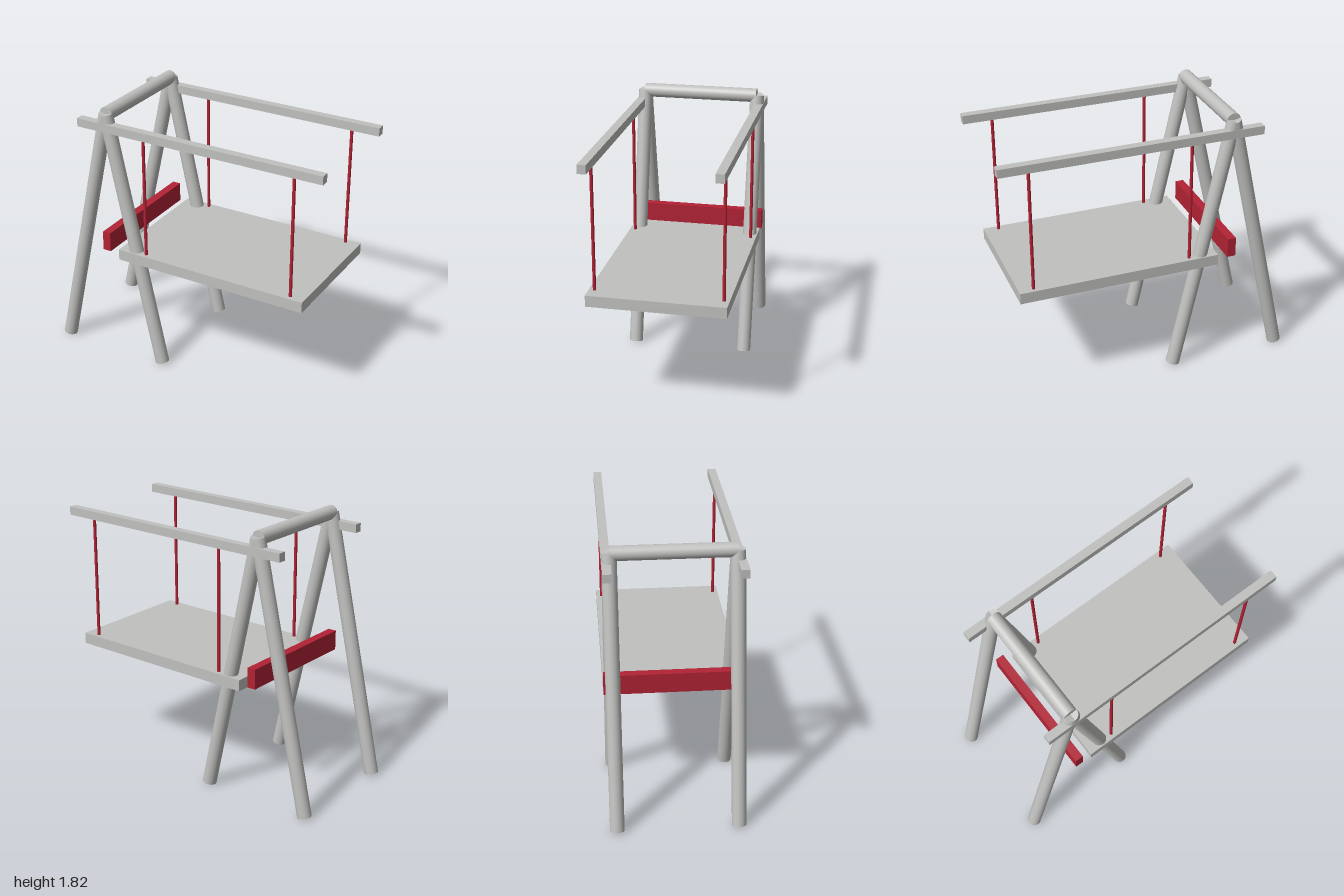
import * as THREE from 'three';

export function createModel() {
  const grey = new THREE.MeshStandardMaterial({ color: 0xc0c0be });
  grey.name = 'light grey';
  const red = new THREE.MeshStandardMaterial({ color: 0xb22234 });
  red.name = 'red';
  const model = new THREE.Group();
  model.name = 'hangingPlatform';

  // Box given by its minimum and maximum corners
  function box(name, min, max, material) {
    const size = max.map((v, i) => v - min[i]);
    const mesh = new THREE.Mesh(new THREE.BoxGeometry(...size), material);
    mesh.position.set(...max.map((v, i) => (v + min[i]) / 2));
    mesh.name = name;
    model.add(mesh);
  }

  // Round bar between two points
  function bar(name, from, to, radius, material, sides = 32) {
    const a = new THREE.Vector3(...from), b = new THREE.Vector3(...to);
    const dir = b.clone().sub(a);
    const mesh = new THREE.Mesh(new THREE.CylinderGeometry(radius, radius, dir.length(), sides), material);
    mesh.position.copy(a).add(b).multiplyScalar(0.5);
    mesh.quaternion.setFromUnitVectors(new THREE.Vector3(0, 1, 0), dir.normalize());
    mesh.name = name;
    model.add(mesh);
  }

  const apexX = -0.565, apexY = 1.772, legZ = 0.393, legR = 0.047;

  for (const [side, s] of [['left', 1], ['right', -1]]) {
    const name = s > 0 ? 'front' : 'back';
    // A-frame legs
    for (const d of [-1, 1]) {
      bar(name + 'Leg', [apexX + d * 0.389, 0.0102, s * legZ], [apexX, apexY, s * legZ], legR, grey);
    }
    // Overhead beam
    const zs = [s * 0.385, s * 0.441].sort((p, q) => p - q);
    box(name + 'Beam', [-0.76, 1.665, zs[0]], [1.0, 1.722, zs[1]], grey);
    // Hanging rods
    for (const x of [-0.272, 0.8]) {
      bar(name + 'Rod', [x, 0.83, s * 0.412], [x, 1.67, s * 0.412], 0.0105, red, 20);
    }
  }

  // Top crossbar, platform and red cross brace
  bar('crossbar', [apexX, apexY, -0.391], [apexX, apexY, 0.391], legR, grey);
  box('platform', [-0.467, 0.76, -0.448], [0.898, 0.835, 0.448], grey);
  box('crossBrace', [-0.592, 0.805, -0.448], [-0.534, 0.939, 0.448], red);

  return model;
}
